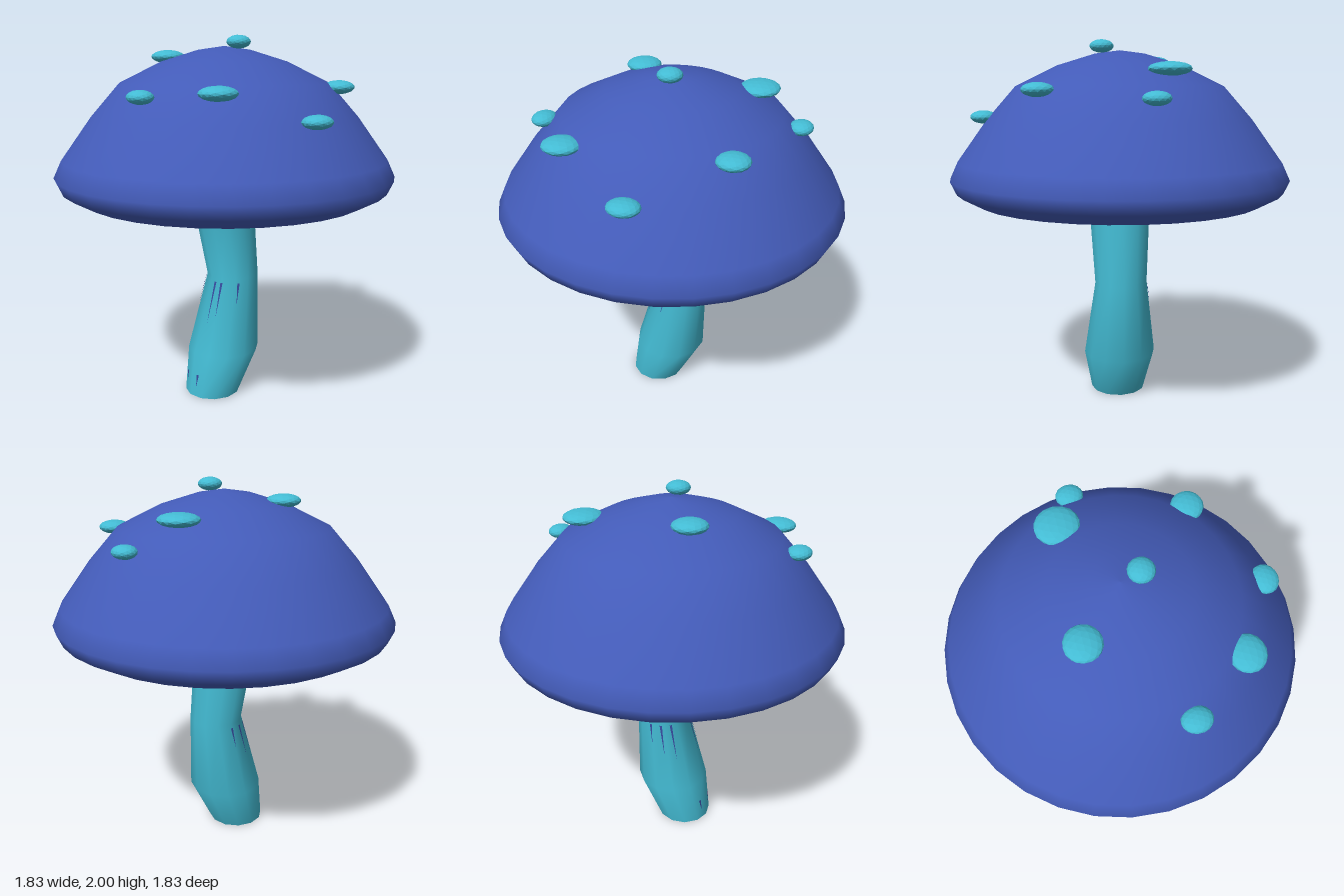
import * as THREE from 'three';

export function createModel() {
  const model = new THREE.Group();
  const capBlue = new THREE.MeshStandardMaterial({ color: 0x435bb8 });
  const teal = new THREE.MeshStandardMaterial({ color: 0x43bbd3 });
  const tealFaceted = new THREE.MeshStandardMaterial({ color: 0x43bbd3, flatShading: true });
  const streakBlue = new THREE.MeshStandardMaterial({ color: 0x35499a, side: THREE.DoubleSide });
  capBlue.name = 'cap blue';
  teal.name = 'teal';
  tealFaceted.name = 'faceted teal';
  streakBlue.name = 'streak blue';

  const add = (name, geometry, material, parent = model) => {
    const mesh = new THREE.Mesh(geometry, material);
    mesh.name = name;
    parent.add(mesh);
    return mesh;
  };

  // Domed cap with a rounded rim and a flat underside
  const profile = [
    [0.775, 1.14], [0.885, 1.2], [0.917, 1.27], [0.875, 1.36],
    [0.715, 1.58], [0.56, 1.755], [0.335, 1.865], [0.14, 1.925], [0, 1.945],
  ].map(([r, y]) => new THREE.Vector2(r, y));
  add('cap', new THREE.LatheGeometry(profile, 32), capBlue);
  add('capUnderside', new THREE.CircleGeometry(0.775, 32).rotateX(Math.PI / 2), capBlue).position.y = 1.14;

  // Twelve-sided gill plate with thin radial gills
  const gills = new THREE.Group();
  gills.name = 'gills';
  model.add(gills);
  add('gillPlate', new THREE.CylinderGeometry(0.74, 0.74, 0.006, 12), teal, gills).position.y = 1.138;
  for (let i = 0; i < 12; i++) {
    const spoke = new THREE.Group();
    spoke.name = 'gill';
    spoke.rotation.y = (i * Math.PI) / 6;
    gills.add(spoke);
    add('gillRib', new THREE.BoxGeometry(0.56, 0.008, 0.022), teal, spoke).position.set(0.43, 1.134, 0);
    add('gillLine', new THREE.BoxGeometry(0.54, 0.004, 0.008), streakBlue, spoke).position.set(0.43, 1.131, 0);
  }

  // Bent stem: rings of [height, centre x, radius]
  const rings = [[0, -0.085, 0.155], [0.25, -0.005, 0.202], [0.68, 0.06, 0.145], [1.139, -0.01, 0.172]];
  const stemPoint = (angle, y, lift = 0) => {
    const k = y < 0.25 ? 0 : y < 0.68 ? 1 : 2;
    const [a, b] = [rings[k], rings[k + 1]];
    const t = (y - a[0]) / (b[0] - a[0]);
    const r = THREE.MathUtils.lerp(a[2], b[2], t) + lift;
    const x = THREE.MathUtils.lerp(a[1], b[1], t);
    return new THREE.Vector3(x + r * Math.cos(angle), y, r * Math.sin(angle));
  };
  const stem = new THREE.CylinderGeometry(1, 1, 1, 12, rings.length - 1, true);
  const pos = stem.attributes.position;
  for (let i = 0; i < pos.count; i++) {
    const [y, cx, r] = rings[Math.round((pos.getY(i) + 0.5) * (rings.length - 1))];
    pos.setXYZ(i, cx + pos.getX(i) * r, y, pos.getZ(i) * r);
  }
  stem.computeVertexNormals();
  // Match normals across the seam
  const normal = stem.attributes.normal;
  for (let row = 0; row < rings.length; row++) {
    const a = row * 13, b = a + 12;
    const n = new THREE.Vector3().fromBufferAttribute(normal, a)
      .add(new THREE.Vector3().fromBufferAttribute(normal, b)).normalize();
    normal.setXYZ(a, n.x, n.y, n.z);
    normal.setXYZ(b, n.x, n.y, n.z);
  }
  add('stem', stem, teal);
  add('stemBase', new THREE.CircleGeometry(0.155, 12).rotateX(Math.PI / 2).translate(-0.085, 0, 0), teal);

  // Tapered dark streaks below the bend: [angle in degrees, top, bottom]
  for (const [deg, top, bottom] of [
    [113, 0.66, 0.54], [150, 0.66, 0.47], [165, 0.66, 0.43],
    [225, 0.66, 0.45], [247, 0.66, 0.47], [270, 0.66, 0.54], [165, 0.13, 0.06], [195, 0.13, 0.06],
  ]) {
    const a = THREE.MathUtils.degToRad(deg);
    const sliver = new THREE.BufferGeometry().setFromPoints([
      stemPoint(a - 0.045, top, 0.003), stemPoint(a + 0.045, top, 0.003), stemPoint(a, bottom, 0.003),
    ]);
    sliver.computeVertexNormals();
    add('stemStreak', sliver, streakBlue);
  }

  // Flattened faceted spots: [x, y, z, half width, half depth, half height]
  for (const [x, y, z, w, d, h] of [
    [0.02, 1.965, 0.1, 0.064, 0.064, 0.035],
    [-0.215, 1.89, -0.22, 0.09, 0.09, 0.035],
    [0.405, 1.836, -0.195, 0.104, 0.11, 0.035],
    [0.64, 1.695, -0.09, 0.062, 0.07, 0.035],
    [-0.615, 1.703, 0.185, 0.064, 0.075, 0.035],
    [-0.385, 1.725, 0.49, 0.096, 0.09, 0.036],
    [0.412, 1.735, 0.445, 0.082, 0.082, 0.036],
    [0, 1.595, 0.73, 0.08, 0.07, 0.035],
  ]) {
    const spot = add('spot', new THREE.IcosahedronGeometry(1, 2), tealFaceted);
    spot.position.set(x, y, z);
    spot.scale.set(w, h, d);
  }
  return model;
}
